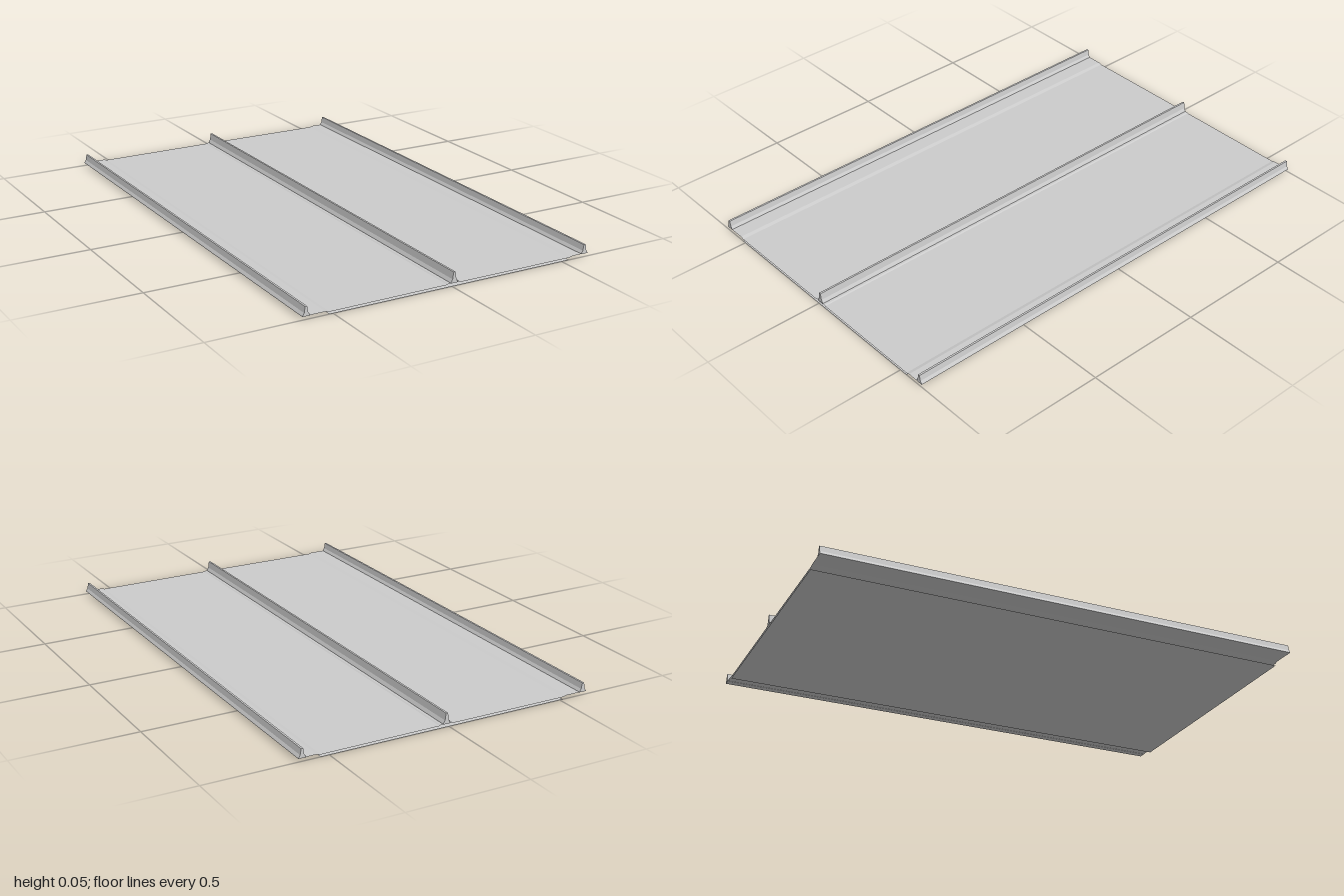
import * as THREE from 'three';

const LENGTH = 2;

export function createModel() {
  const model = new THREE.Group();
  const solid = new THREE.MeshStandardMaterial({ color: 0xcccccc, flatShading: true });
  const sheet = new THREE.MeshStandardMaterial({ color: 0xcccccc, flatShading: true, side: THREE.DoubleSide });

  function add(name, geometry, material) {
    const mesh = new THREE.Mesh(geometry, material);
    mesh.name = name;
    model.add(mesh);
  }

  // Thin open surface: an x/y profile swept along z
  function addSheet(name, profile) {
    const geometry = new THREE.PlaneGeometry(1, LENGTH, profile.length - 1, 1);
    geometry.rotateX(-Math.PI / 2);
    const position = geometry.attributes.position;
    for (let i = 0; i < position.count; i++) {
      const [x, y] = profile[i % profile.length];
      position.setX(i, x);
      position.setY(i, y);
    }
    geometry.computeVertexNormals();
    add(name, geometry, sheet);
  }

  // Concrete barrier: flared foot, steep stem, narrow flat top
  function addBarrier(name, x, bottom, top) {
    const h = top - bottom;
    const half = [[0.015, 0], [0.0145, 0.08], [0.008, 0.36], [0.004, 1]];
    const right = half.map(([w, t]) => new THREE.Vector2(x + w, bottom + t * h));
    const left = half.map(([w, t]) => new THREE.Vector2(x - w, bottom + t * h)).reverse();
    const geometry = new THREE.ExtrudeGeometry(new THREE.Shape([...right, ...left]), {
      depth: LENGTH, bevelEnabled: false,
    });
    geometry.translate(0, 0, -LENGTH / 2);
    add(name, geometry, solid);
  }

  // Roadway with raised shoulders and a raised strip under the median
  addSheet('roadSurface', [
    [-0.62, 0.013], [-0.53, 0.013], [-0.515, 0.009],
    [-0.02, 0.01], [-0.015, 0.013], [0.035, 0.013], [0.04, 0.01],
    [0.535, 0.009], [0.55, 0.013], [0.62, 0.013],
  ]);
  addSheet('roadUnderside', [[-0.515, 0], [0.01, 0], [0.535, 0]]);

  // Edge barriers and the slightly taller median
  addBarrier('rightBarrier', -0.608, 0.012, 0.049);
  addBarrier('leftBarrier', 0.608, 0.012, 0.049);
  addBarrier('medianBarrier', 0.01, 0.012, 0.055);

  return model;
}
